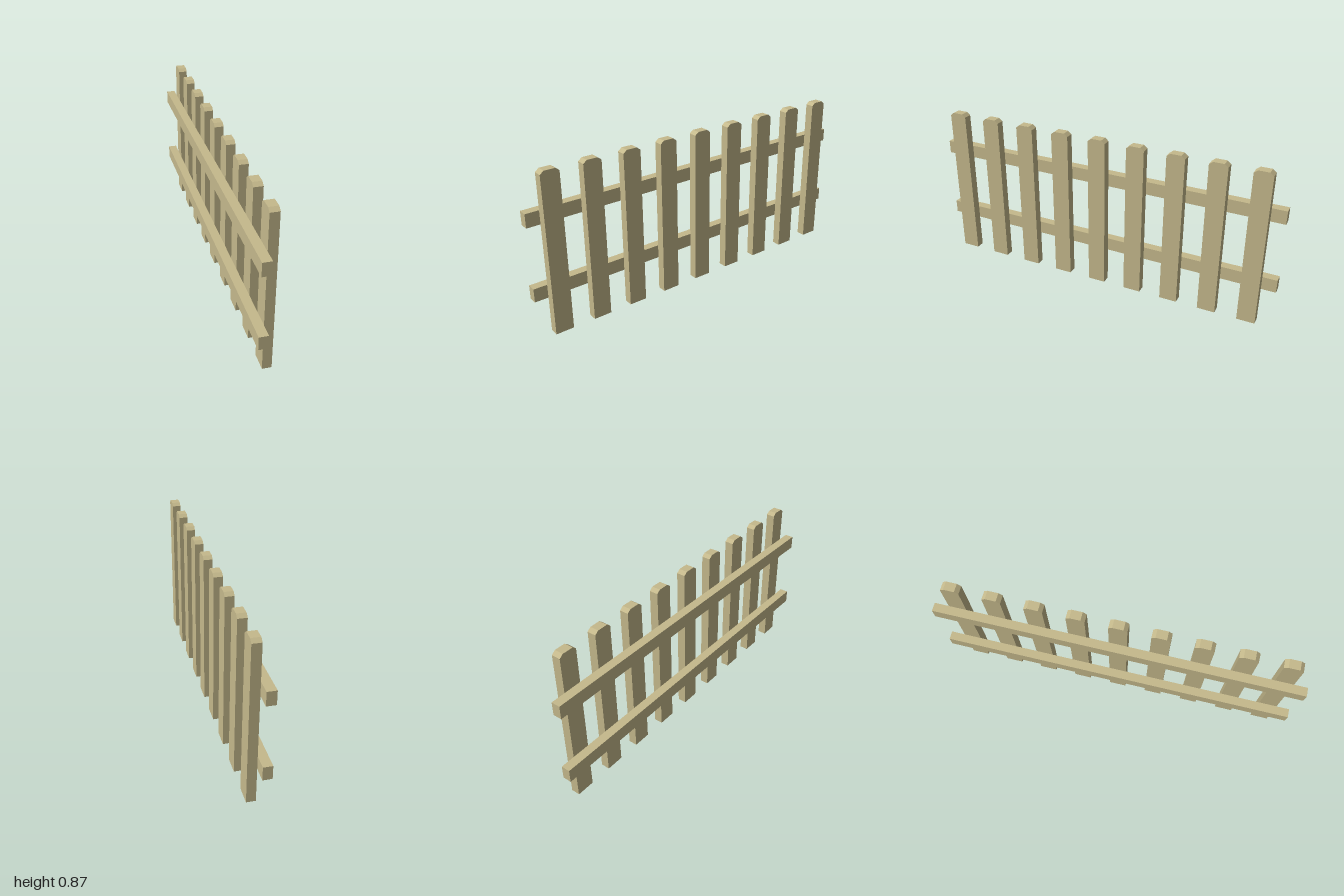
import * as THREE from 'three';

export function createModel() {
  const fence = new THREE.Group();
  fence.name = 'picketFence';

  const wood = new THREE.MeshStandardMaterial({ color: 0xc5b98c });
  wood.name = 'paleWood';

  const thickness = 0.048;

  // Picket profile: upright board with chamfered top corners
  const half = 0.049, height = 0.87, cutX = 0.02, cutY = 0.016;
  const profile = new THREE.Shape([
    [-half, 0], [half, 0], [half, height - cutY], [half - cutX, height],
    [-half + cutX, height], [-half, height - cutY],
  ].map(([x, y]) => new THREE.Vector2(x, y)));
  const picketGeometry = new THREE.ExtrudeGeometry(profile, { depth: thickness, bevelEnabled: false });
  picketGeometry.rotateY(Math.PI / 2); // width along z, thickness towards +x

  // Nine evenly spaced pickets
  const count = 9, spacing = 0.219;
  for (let i = 0; i < count; i++) {
    const picket = new THREE.Mesh(picketGeometry, wood);
    picket.name = `picket${i + 1}`;
    picket.position.z = 0.003 + (i - (count - 1) / 2) * spacing;
    fence.add(picket);
  }

  // Two horizontal rails behind the pickets
  const railGeometry = new THREE.BoxGeometry(thickness, 0.073, 2);
  for (const [name, y] of [['lowerRail', 0.228], ['upperRail', 0.628]]) {
    const rail = new THREE.Mesh(railGeometry, wood);
    rail.name = name;
    rail.position.set(-thickness / 2, y, 0);
    fence.add(rail);
  }

  return fence;
}
